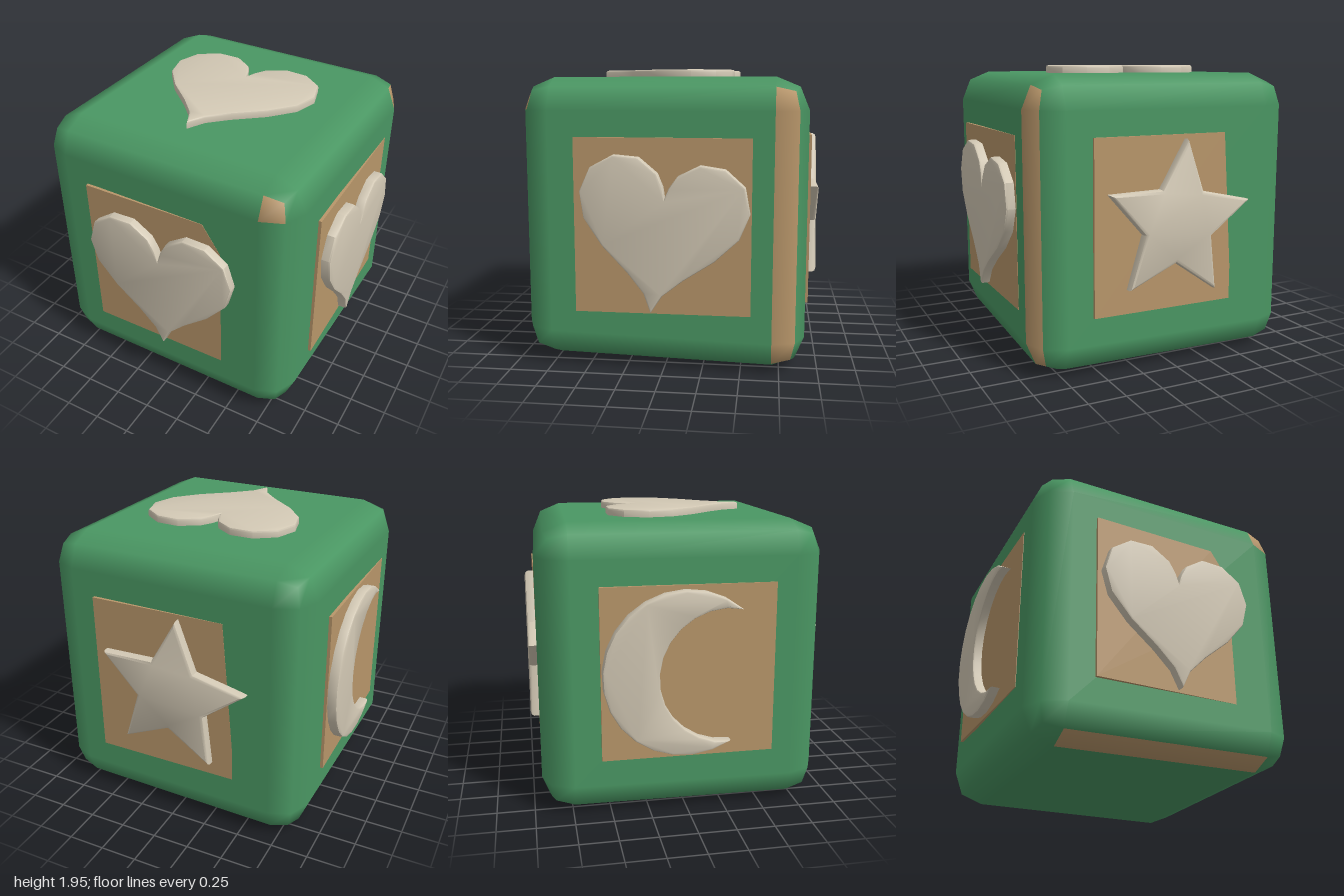
import * as THREE from 'three';
import { RoundedBoxGeometry } from 'three/addons/geometries/RoundedBoxGeometry.js';
import { toCreasedNormals } from 'three/addons/utils/BufferGeometryUtils.js';

const mat = (name, color) => {
  const m = new THREE.MeshStandardMaterial({ color });
  m.name = name;
  return m;
};

const shapeOf = (pts) => new THREE.Shape(pts.map(([x, y]) => new THREE.Vector2(x, y)));

// Points along a circular arc, angles in degrees
function arc(cx, cy, r, from, to, n) {
  return Array.from({ length: n + 1 }, (_, i) => {
    const a = THREE.MathUtils.degToRad(from + ((to - from) * i) / n);
    return [cx + r * Math.cos(a), cy + r * Math.sin(a)];
  });
}

// Heart: half outline from the tip to the notch, then mirrored
function heartPoints() {
  const half = [[0, -0.55], [0.06, -0.43], [0.18, -0.31], [0.36, -0.16], [0.495, 0],
    [0.54, 0.165], [0.49, 0.325], [0.355, 0.42], [0.195, 0.425], [0.065, 0.34], [0.02, 0.26], [0, 0.19]];
  return [...half, ...half.slice(1, -1).reverse().map(([x, y]) => [-x, y])];
}

function starPoints() {
  return Array.from({ length: 10 }, (_, i) => {
    const r = i % 2 ? 0.26 : 0.54;
    const a = THREE.MathUtils.degToRad(84.5 + i * 36);
    return [0.015 + r * Math.cos(a), r * Math.sin(a)];
  });
}

function moonPoints() {
  const outer = arc(-0.02, 0, 0.54, 49, 302, 18);
  const inner = arc(0.24, -0.02, 0.44, 273.4, 77.7, 14);
  return [...outer, ...inner.slice(1, -1)];
}

// Raised symbol with softened rim, from z = back to z = front
function symbolGeometry(pts, back, front, bevel) {
  const g = new THREE.ExtrudeGeometry(shapeOf(pts), {
    depth: front - back - bevel, bevelEnabled: true,
    bevelSize: bevel, bevelThickness: bevel, bevelOffset: -bevel, bevelSegments: 2,
  });
  g.translate(0, 0, back);
  return toCreasedNormals(g, 0.65);
}

function plateGeometry(pts, front) {
  const g = new THREE.ExtrudeGeometry(shapeOf(pts), { depth: 0.02, bevelEnabled: false });
  g.translate(0, 0, front - 0.02);
  return g;
}

// Slightly skewed chamfered cube with a few worn edge facets
function makeBody(materials) {
  const g = new RoundedBoxGeometry(1.84, 1.9, 1.86, 1, 0.21);
  g.translate(0, 0.95, 0);
  const p = g.attributes.position;
  for (let i = 0; i < p.count; i++) {
    const x = p.getX(i), y = p.getY(i), z = p.getZ(i);
    const lift = y < 0.95 ? 0.011 * (1 + x) * (1 + z) : 0;
    p.setXYZ(i, x - 0.022 * z, y + lift, z + 0.022 * x);
  }
  // Nine facets per side, in the order +x, -x, +y, -y, +z, -z
  const worn = new Set([2, 5, 8, 27 + 1, 36 + 2]);
  g.clearGroups();
  for (let q = 0; q < 54; q++) g.addGroup(q * 6, 6, worn.has(q) ? 1 : 0);
  const body = new THREE.Mesh(g, materials);
  body.name = 'blockBody';
  return body;
}

export function createModel() {
  const green = mat('green paint', 0x4a9763);
  const wood = mat('bare wood', 0xb8966a);
  const cream = mat('cream', 0xd2c8b4);

  const model = new THREE.Group();
  model.name = 'toyBlock';
  model.add(makeBody([green, wood]));

  const s = 0.565;
  const square = [[-s, -s], [s, -s], [s, s], [-s, s]];
  const frontPlate = [[-s, -s], [s, -s], [s, 0.18], [0.31, s], [-s, s]];
  const backPlate = [[-s, -s], [0.45, -s], [0.37, s], [-s, s]];

  // Each side: outward direction, wooden plate, raised symbol and its tilt
  const sides = [
    { name: 'front', ry: 0, plate: frontPlate, at: 0.94, pts: heartPoints(), symbol: 'Heart', tilt: 0 },
    { name: 'left', ry: Math.PI / 2, plate: square, at: 0.935, pts: heartPoints(), symbol: 'Heart', tilt: -0.122 },
    { name: 'back', ry: Math.PI, plate: backPlate, at: 0.94, pts: starPoints(), symbol: 'Star', tilt: 0, bevel: 0.025 },
    { name: 'right', ry: -Math.PI / 2, plate: square, at: 0.936, pts: moonPoints(), symbol: 'Moon', tilt: 0 },
    { name: 'top', rx: -Math.PI / 2, pts: heartPoints(), symbol: 'Heart', tilt: -0.04, back: 0.92, front: 0.99 },
  ];
  for (const side of sides) {
    const group = new THREE.Group();
    group.name = side.name + 'Side';
    group.position.y = 0.96;
    group.rotation.set(side.rx ?? 0, side.ry ?? 0, 0);
    if (side.plate) {
      const plate = new THREE.Mesh(plateGeometry(side.plate, side.at), wood);
      plate.name = side.name + 'Plate';
      group.add(plate);
    }
    const symbol = new THREE.Mesh(
      symbolGeometry(side.pts, side.back ?? 0.925, side.front ?? 1, side.bevel ?? 0.014), cream);
    symbol.name = side.name + side.symbol;
    symbol.rotation.z = side.tilt;
    group.add(symbol);
    model.add(group);
  }
  return model;
}
